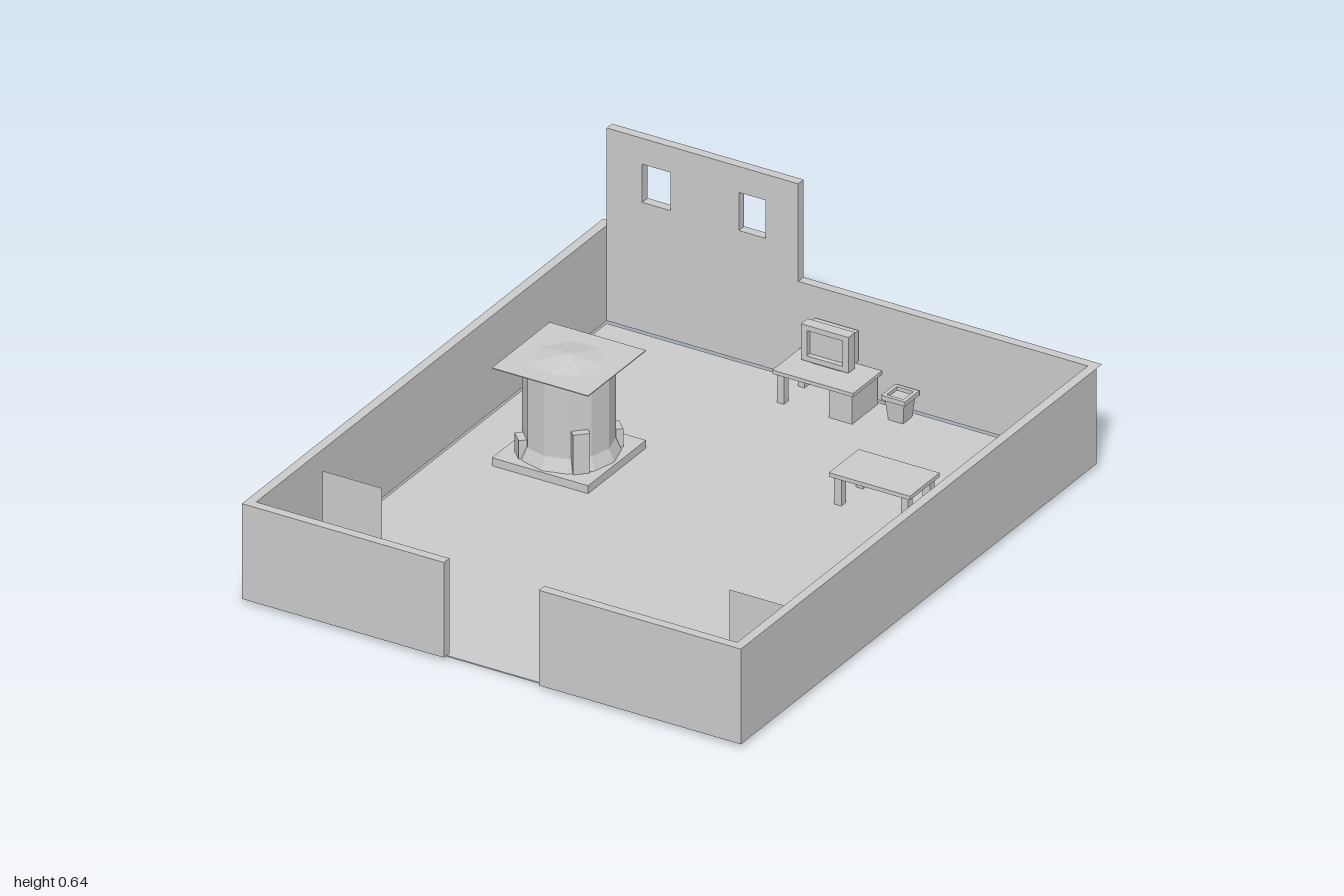
import * as THREE from 'three';

const grey = new THREE.MeshStandardMaterial({ color: 0xcccccc, flatShading: true, side: THREE.DoubleSide });

export function createModel() {
  const root = new THREE.Group();

  const add = (parent, name, geometry) => {
    const mesh = new THREE.Mesh(geometry, grey);
    mesh.name = name;
    parent.add(mesh);
    return mesh;
  };
  const group = (name, x = 0, y = 0, z = 0) => {
    const g = new THREE.Group();
    g.name = name;
    g.position.set(x, y, z);
    root.add(g);
    return g;
  };
  // Box given by its lower and upper limits
  const box = (parent, name, x0, x1, y0, y1, z0, z1) => {
    const mesh = add(parent, name, new THREE.BoxGeometry(x1 - x0, y1 - y0, z1 - z0));
    mesh.position.set((x0 + x1) / 2, (y0 + y1) / 2, (z0 + z1) / 2);
    return mesh;
  };
  // Rectangle with rectangular openings, extruded along z
  const rect = (T, x0, x1, y0, y1) => {
    const s = new T();
    s.moveTo(x0, y0).lineTo(x1, y0).lineTo(x1, y1).lineTo(x0, y1).closePath();
    return s;
  };
  const panel = (parent, name, outer, holes, z, depth) => {
    const shape = rect(THREE.Shape, ...outer);
    for (const h of holes) shape.holes.push(rect(THREE.Path, ...h));
    add(parent, name, new THREE.ExtrudeGeometry(shape, { depth, bevelEnabled: false })).position.z = z;
  };
  // Square tapered solid
  const taper = (parent, name, bottom, top, y0, y1) => {
    const g = new THREE.CylinderGeometry(top / Math.SQRT2, bottom / Math.SQRT2, y1 - y0, 4);
    g.rotateY(Math.PI / 4);
    add(parent, name, g).position.y = (y0 + y1) / 2;
  };

  const low = 0.013, high = 0.325;

  // Floor and side and front walls
  box(root, 'floor', -0.81, 0.81, 0, 0.004, -0.97, 0.97);
  const walls = group('walls');
  for (const s of [-1, 1]) {
    const side = (a, b) => (s > 0 ? [a, b] : [-b, -a]);
    box(walls, 'sideWall', ...side(0.81, 0.84), low, high, -0.97, 0.97);
    box(walls, 'frontWall', ...side(0.16, 0.84), low, high, 0.97, 1);
  }

  // Back wall: two skins under a cap, open at its ends
  for (const z of [-1, -0.97]) {
    const skin = add(walls, 'backWallSkin', new THREE.PlaneGeometry(1.62, high - low));
    skin.position.set(0, (low + high) / 2, z);
    if (z === -1) skin.rotation.y = Math.PI;
  }
  const cap = add(walls, 'backWallCap', new THREE.PlaneGeometry(1.68, 0.03));
  cap.rotation.x = -Math.PI / 2;
  cap.position.set(0, high, -0.985);

  // Raised wall with two windows
  panel(walls, 'raisedWall', [-0.81, -0.165, high, 0.645],
    [[-0.69, -0.595, 0.435, 0.56], [-0.365, -0.275, 0.435, 0.56]], -1, 0.03);

  // Closed windows on the inside of the left wall
  for (const z of [-0.47, -0.15])
    box(walls, 'wallWindow', 0.805, 0.811, 0.145, 0.27, z - 0.05, z + 0.05);

  // Canopied column on a square base
  const column = group('canopyColumn', -0.487, 0, -0.23);
  box(column, 'columnBase', -0.162, 0.162, 0.004, 0.03, -0.16, 0.16);
  const shaft = add(column, 'shaft', new THREE.CylinderGeometry(0.135, 0.135, 0.295, 12));
  shaft.position.y = 0.177;
  const skirt = add(column, 'shaftFoot', new THREE.CylinderGeometry(0.135, 0.152, 0.04, 12));
  skirt.position.y = 0.05;
  box(column, 'canopy', -0.162, 0.162, 0.322, 0.325, -0.16, 0.16);
  const peak = add(column, 'canopyPeak', new THREE.ConeGeometry(0.11, 0.02, 7));
  peak.position.y = 0.335;
  for (let i = 0; i < 4; i++) {
    const arm = new THREE.Group();
    arm.name = 'cornerPost';
    arm.rotation.y = Math.PI / 4 + i * Math.PI / 2;
    column.add(arm);
    box(arm, 'post', -0.025, 0.025, 0.03, i === 0 ? 0.16 : 0.09, 0.12, 0.155);
  }

  // Desk with a drawer cabinet
  const desk = group('desk');
  box(desk, 'deskTop', -0.155, 0.117, 0.1, 0.112, -0.97, -0.81);
  box(desk, 'cabinet', 0.03, 0.108, 0.004, 0.1, -0.96, -0.82);
  for (const z of [-0.96, -0.845])
    box(desk, 'deskLeg', -0.145, -0.122, 0.004, 0.1, z, z + 0.025);

  // Monitor
  const monitor = group('monitor');
  panel(monitor, 'screenFrame', [-0.112, 0.048, 0.118, 0.235],
    [[-0.092, 0.028, 0.135, 0.218]], -0.935, 0.037);
  box(monitor, 'screen', -0.095, 0.031, 0.132, 0.221, -0.93, -0.915);
  box(monitor, 'monitorBack', -0.105, 0.041, 0.125, 0.225, -0.965, -0.93);
  box(monitor, 'monitorFoot', -0.08, 0.016, 0.112, 0.12, -0.955, -0.905);

  // Table
  const table = group('table');
  box(table, 'tableTop', 0.3, 0.573, 0.095, 0.108, -0.54, -0.375);
  for (const x of [0.312, 0.537])
    for (const z of [-0.53, -0.41])
      box(table, 'tableLeg', x, x + 0.024, 0.004, 0.095, z, z + 0.025);

  // Waste bin
  const bin = group('wasteBin', 0.207, 0, -0.923);
  taper(bin, 'binBody', 0.05, 0.065, 0.004, 0.075);
  panel(bin, 'binRim', [-0.04, 0.04, -0.04, 0.04], [[-0.028, 0.028, -0.028, 0.028]], 0, 0.015);
  bin.children[1].rotation.x = -Math.PI / 2;
  bin.children[1].position.y = 0.072;

  // Potted plants with a flat foliage panel
  for (const s of [-1, 1]) {
    const plant = group('pottedPlant', s * 0.685, 0, 0.645);
    taper(plant, 'potBase', 0.065, 0.07, 0.004, 0.035);
    taper(plant, 'potBody', 0.075, 0.09, 0.035, 0.065);
    taper(plant, 'potNeck', 0.095, 0.1, 0.065, 0.085);
    box(plant, 'potRim', -0.058, 0.058, 0.085, 0.1, -0.058, 0.058);
    add(plant, 'foliage', new THREE.PlaneGeometry(0.2, 0.185)).position.y = 0.19;
  }

  return root;
}
